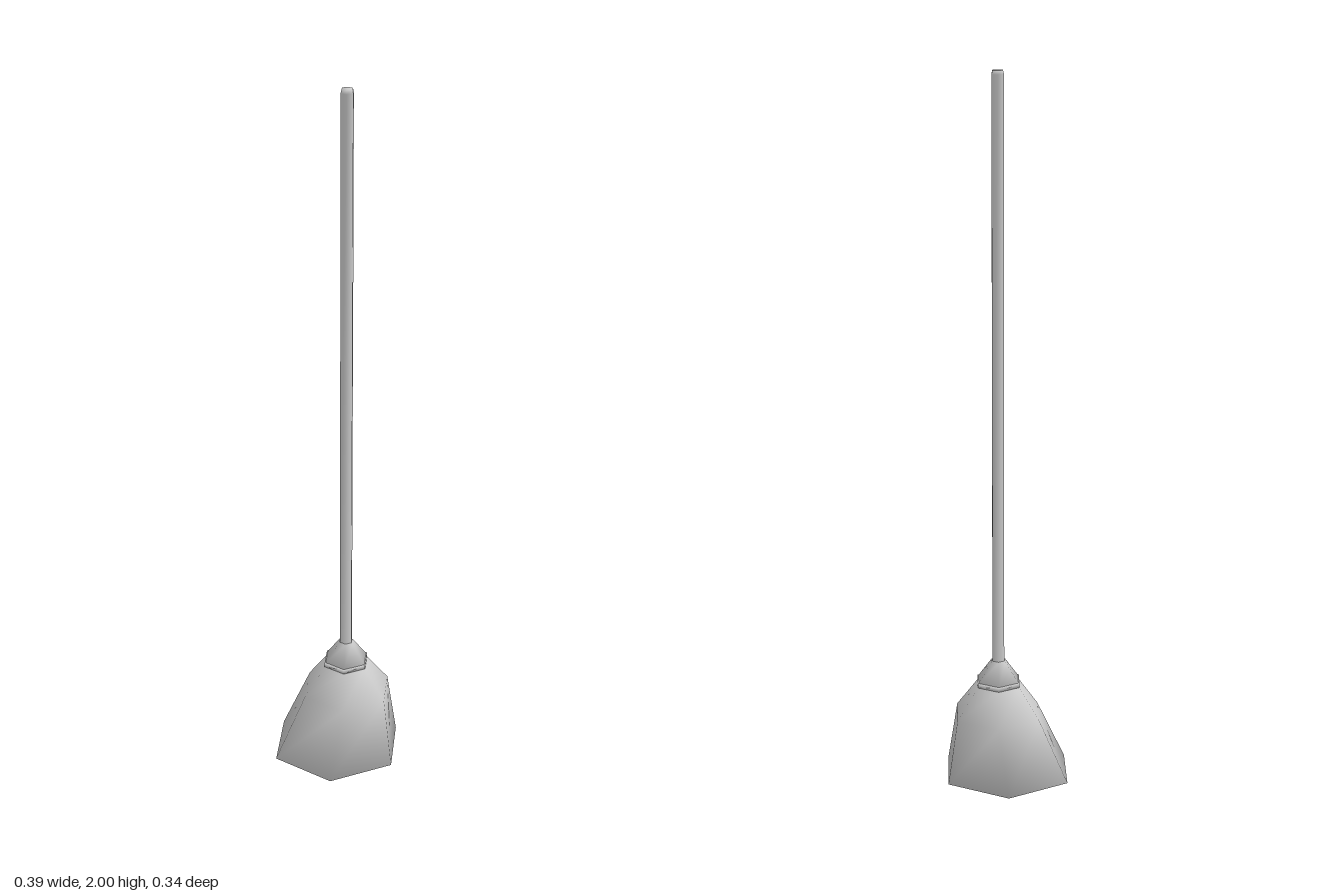
import * as THREE from 'three';

const SIDES = 6;

// Smooth-shaded, capped hexagonal loft; each ring is [y, radius, centreX, centreZ]
function loft(name, rings, material) {
  const positions = [], indices = [];
  for (const [y, r, cx, cz] of rings) {
    for (let i = 0; i < SIDES; i++) {
      const a = (i / SIDES) * Math.PI * 2;
      positions.push(cx + r * Math.cos(a), y, cz + r * Math.sin(a));
    }
  }
  const last = (rings.length - 1) * SIDES;
  const bottom = last + SIDES, top = bottom + 1;
  for (const [y, , cx, cz] of [rings[0], rings[rings.length - 1]]) positions.push(cx, y, cz);

  for (let i = 0; i < SIDES; i++) {
    const j = (i + 1) % SIDES;
    for (let k = 0; k < last; k += SIDES) {
      const a = k + i, b = k + j, c = a + SIDES, d = b + SIDES;
      indices.push(a, c, b, b, c, d);
    }
    indices.push(bottom, i, j, top, last + j, last + i);
  }
  const geometry = new THREE.BufferGeometry();
  geometry.setAttribute('position', new THREE.Float32BufferAttribute(positions, 3));
  geometry.setIndex(indices);
  geometry.computeVertexNormals();
  const mesh = new THREE.Mesh(geometry, material);
  mesh.name = name;
  return mesh;
}

export function createModel() {
  const group = new THREE.Group();
  group.name = 'broom';
  const grey = new THREE.MeshStandardMaterial({ color: 0xcccccc });
  const x = 0.031, z = -0.003;

  // Flared bristle head, leaning to one side
  group.add(loft('bristles', [
    [0, 0.195, 0, 0],
    [0.187, 0.133, 0.033, z],
    [0.276, 0.066, x, z],
  ], grey));

  // Collar: thin rim below a cone that narrows to the handle
  group.add(loft('collarRim', [
    [0.274, 0.068, x, z],
    [0.287, 0.068, x, z],
  ], grey));
  group.add(loft('collarCone', [
    [0.285, 0.066, x, z],
    [0.345, 0.022, x, z],
  ], grey));

  // Long straight handle
  group.add(loft('handle', [
    [0.33, 0.019, x, z],
    [1.99, 0.019, x, z],
    [2, 0.016, x, z],
  ], grey));

  return group;
}
